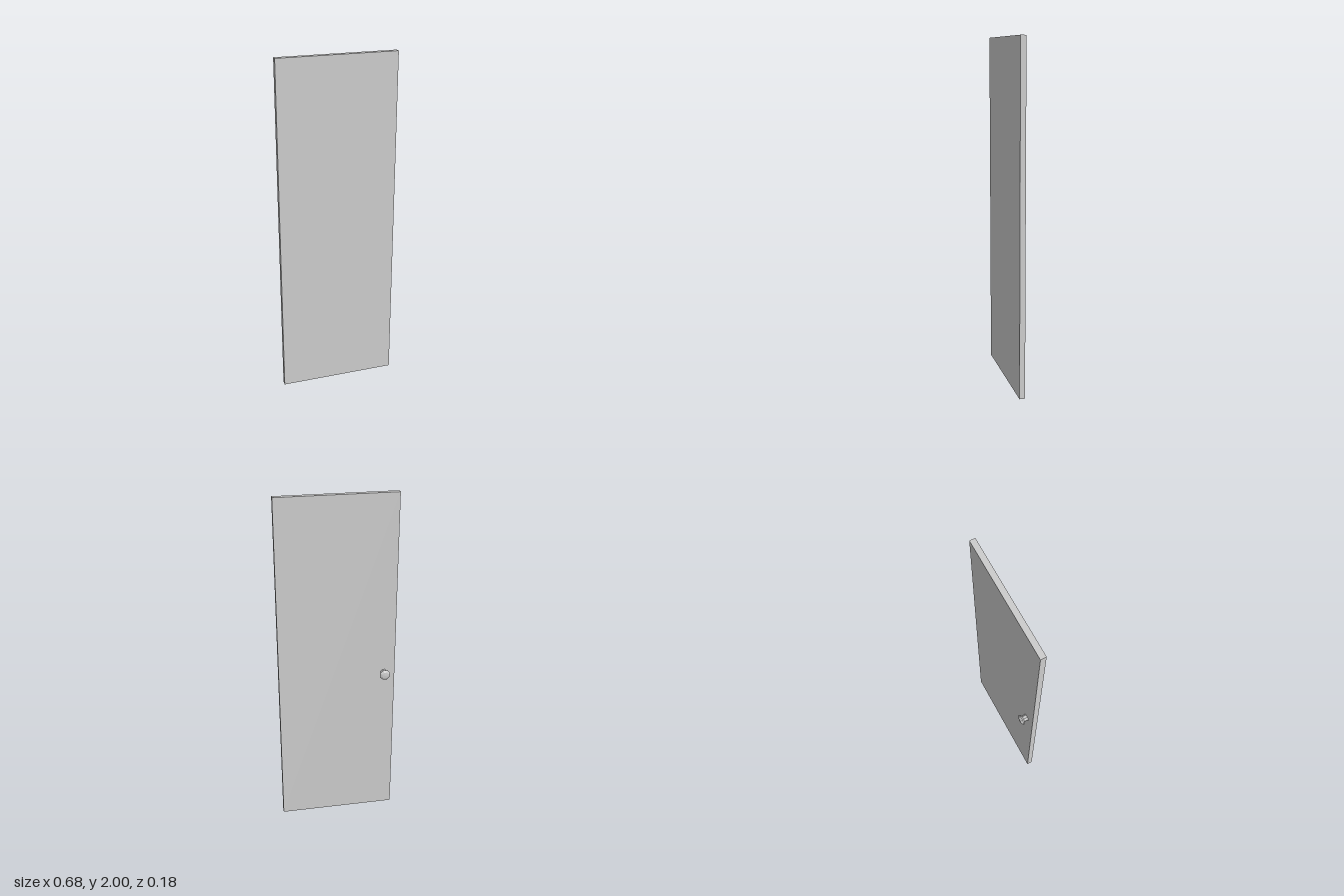
import * as THREE from 'three';

export function createModel() {
  const model = new THREE.Group();
  model.name = 'door';
  const material = new THREE.MeshStandardMaterial({ color: 0xcccccc, flatShading: true });

  // The whole door stands slightly ajar
  const swing = new THREE.Group();
  swing.name = 'swingingDoor';
  swing.rotation.y = THREE.MathUtils.degToRad(-9);
  swing.position.z = 0.0165;
  model.add(swing);

  // Plain slab
  const thickness = 0.032;
  const panel = new THREE.Mesh(new THREE.BoxGeometry(0.687, 2, thickness), material);
  panel.name = 'panel';
  panel.position.y = 1;
  swing.add(panel);

  // Knob on the back face: faceted stem and lens-shaped grip in one profile
  const profile = [
    [0.021, 0], [0.0195, 0.024], [0.025, 0.027], [0.031, 0.0315],
    [0.0325, 0.035], [0.030, 0.039], [0.020, 0.0445], [0, 0.0465],
  ].map(([r, h]) => new THREE.Vector2(r, h));
  const knobGeometry = new THREE.LatheGeometry(profile, 8, Math.PI / 8);
  knobGeometry.rotateX(-Math.PI / 2);
  const knob = new THREE.Mesh(knobGeometry, material);
  knob.name = 'knob';
  knob.position.set(-0.278, 0.931, -thickness / 2);
  swing.add(knob);

  return model;
}
